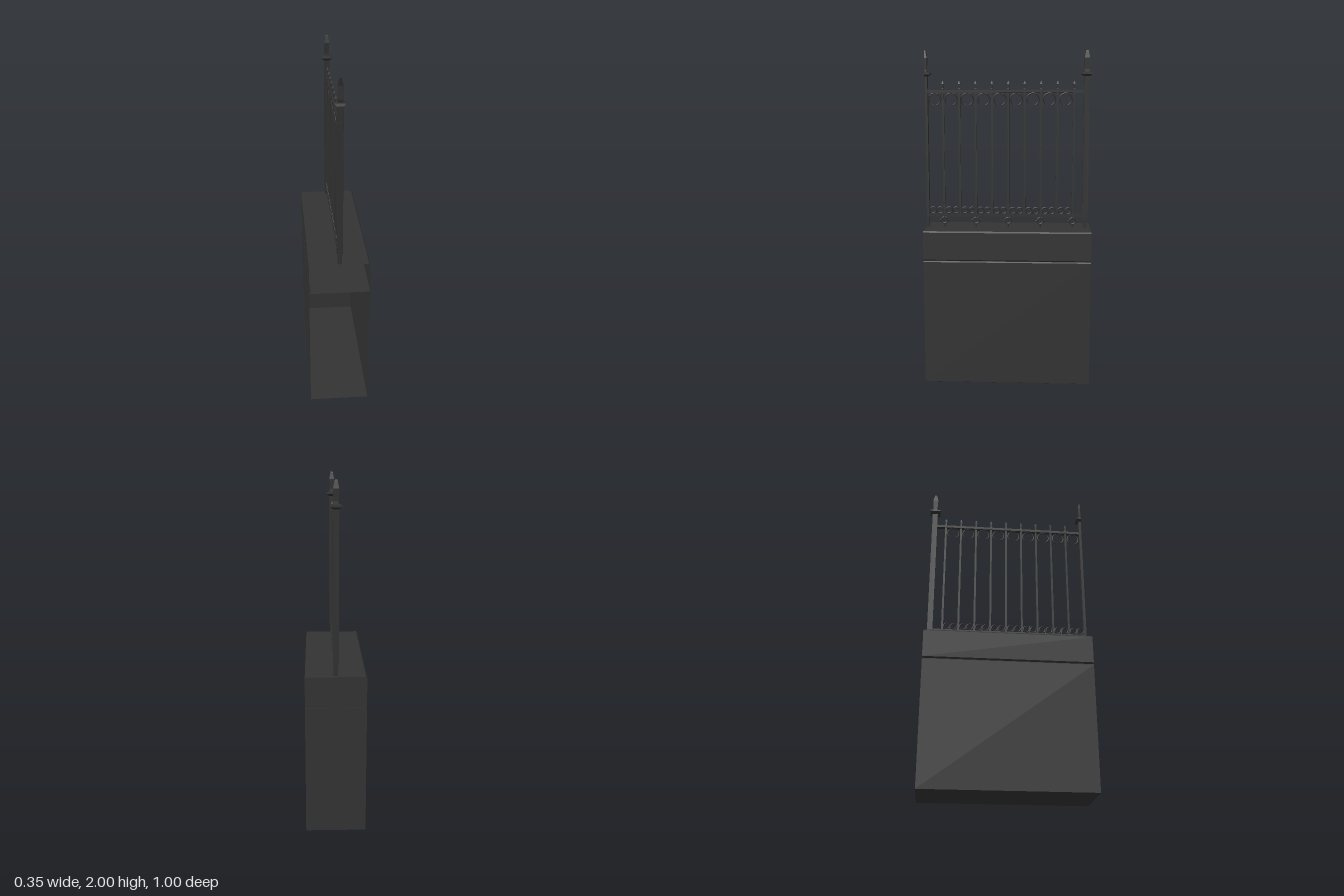
import * as THREE from 'three';

const stone = new THREE.MeshStandardMaterial({ color: 0x333333, side: THREE.DoubleSide, flatShading: true });
const iron = new THREE.MeshStandardMaterial({ color: 0x303030, side: THREE.DoubleSide, flatShading: true });
const ironSmooth = new THREE.MeshStandardMaterial({ color: 0x303030 });

function add(parent, name, geometry, material, x = 0, y = 0, z = 0) {
  const mesh = new THREE.Mesh(geometry, material);
  mesh.name = name;
  mesh.position.set(x, y, z);
  parent.add(mesh);
  return mesh;
}

// Square-section turned piece from [half width, height] pairs;
// cut = true keeps only the half behind its centre and leaves the cut open
function squarePiece(profile, cut = false) {
  const points = profile.map(([w, y]) => new THREE.Vector2(w * Math.SQRT2, y));
  const geo = new THREE.LatheGeometry(points, cut ? 3 : 4, Math.PI / 4, cut ? Math.PI * 1.5 : Math.PI * 2);
  const p = geo.attributes.position;
  if (cut) for (let i = 0; i < p.count; i++) p.setZ(i, Math.min(p.getZ(i), 0));
  geo.computeVertexNormals();
  return geo;
}

// Block running the full length with bevelled long edges and an open front end
function openBlock(halfW, y0, y1, bottomBevel, topBevel) {
  const s = new THREE.Shape([
    [-halfW + bottomBevel, y0], [halfW - bottomBevel, y0],
    [halfW, y0 + bottomBevel], [halfW, y1 - topBevel],
    [halfW - topBevel, y1], [-halfW + topBevel, y1],
    [-halfW, y1 - topBevel], [-halfW, y0 + bottomBevel],
  ].map(([x, y]) => new THREE.Vector2(x, y)));
  const src = new THREE.ExtrudeGeometry(s, { depth: 1, bevelEnabled: false });
  const p = src.attributes.position, n = src.attributes.normal;
  const kept = [];
  for (let i = 0; i < p.count; i += 3) {
    if (n.getZ(i) > 0.9) continue;
    for (let k = i; k < i + 3; k++) kept.push(p.getX(k), p.getY(k), p.getZ(k) - 0.5);
  }
  const geo = new THREE.BufferGeometry();
  geo.setAttribute('position', new THREE.Float32BufferAttribute(kept, 3));
  geo.computeVertexNormals();
  return geo;
}

// Ring standing in the plane of the fence, with an optional gap at the bottom
function ring(radius, tube, gap = 0) {
  const geo = new THREE.TorusGeometry(radius, tube, 6, 24, Math.PI * 2 - gap);
  geo.rotateZ(-Math.PI / 2 + gap / 2);
  geo.rotateY(Math.PI / 2);
  return geo;
}

export function createModel() {
  const model = new THREE.Group();
  model.name = 'fenceOnWall';

  // Wall and coping
  add(model, 'wall', openBlock(0.173, 0, 0.757, 0.001, 0.006), stone);
  add(model, 'coping', openBlock(0.173, 0.759, 0.938, 0.007, 0.008), stone);

  // End posts: whole at the back, halved at the front
  const post = [
    [0.012, 0.93], [0.012, 1.0], [0.0165, 1.0], [0.0165, 1.848],
    [0.033, 1.86], [0.033, 1.868], [0.014, 1.876], [0.013, 1.89],
    [0.016, 1.955], [0.008, 1.994], [0.006, 2.0], [0.0001, 2.0],
  ];
  add(model, 'backPost', squarePiece(post), iron, 0, 0, -0.467);
  add(model, 'frontPost', squarePiece(post, true), iron, 0, 0, 0.5);

  // Rails
  for (const [name, y] of [['topRail', 1.76], ['bottomRail', 1.011]])
    add(model, name, new THREE.BoxGeometry(0.022, 0.016, 0.945), iron, 0, y, 0.0175);

  // Upright bars with spear tips
  const pitch = 0.0982;
  const bar = squarePiece([[0.006, 1.011], [0.006, 1.775], [0.0055, 1.78], [0.007, 1.803], [0.0025, 1.82], [0.0001, 1.82]]);
  for (let i = -4; i <= 4; i++) add(model, 'bar', bar, iron, 0, 0, i * pitch);

  // Ornaments in each bay: a large open ring above, a pair of scrolls below
  const bigRing = ring(0.036, 0.0042, 0.7);
  const smallRing = ring(0.0185, 0.004);
  const leaf = new THREE.ConeGeometry(0.004, 0.05, 6);
  for (let i = -4; i <= 4; i++) {
    const bay = new THREE.Group();
    bay.name = 'bayOrnament';
    bay.position.z = i * pitch + pitch / 2;
    model.add(bay);
    add(bay, 'topRing', bigRing, ironSmooth, 0, 1.714, 0);
    for (const side of [-1, 1]) add(bay, 'scroll', smallRing, ironSmooth, -0.01, 1.04, side * 0.022);
    add(bay, 'leaf', leaf, ironSmooth, -0.01, 1.044, 0);
  }

  // Ringed feet between coping and bottom rail
  const foot = new THREE.CylinderGeometry(0.005, 0.005, 0.028, 8);
  const stub = new THREE.CylinderGeometry(0.003, 0.005, 0.012, 8).rotateX(Math.PI / 2);
  for (let i = -4; i <= 4; i += 2) {
    const support = new THREE.Group();
    support.name = 'ringFoot';
    support.position.z = i * pitch;
    model.add(support);
    add(support, 'footRing', ring(0.0185, 0.005), ironSmooth, 0, 0.979, 0);
    add(support, 'lowerStem', foot, ironSmooth, 0, 0.945, 0);
    add(support, 'upperStem', foot, ironSmooth, 0, 1.008, 0);
    for (const side of [-1, 1]) {
      const s = add(support, 'sideStub', stub, ironSmooth, 0, 0.979, side * 0.025);
      if (side < 0) s.rotation.y = Math.PI;
    }
  }
  return model;
}
